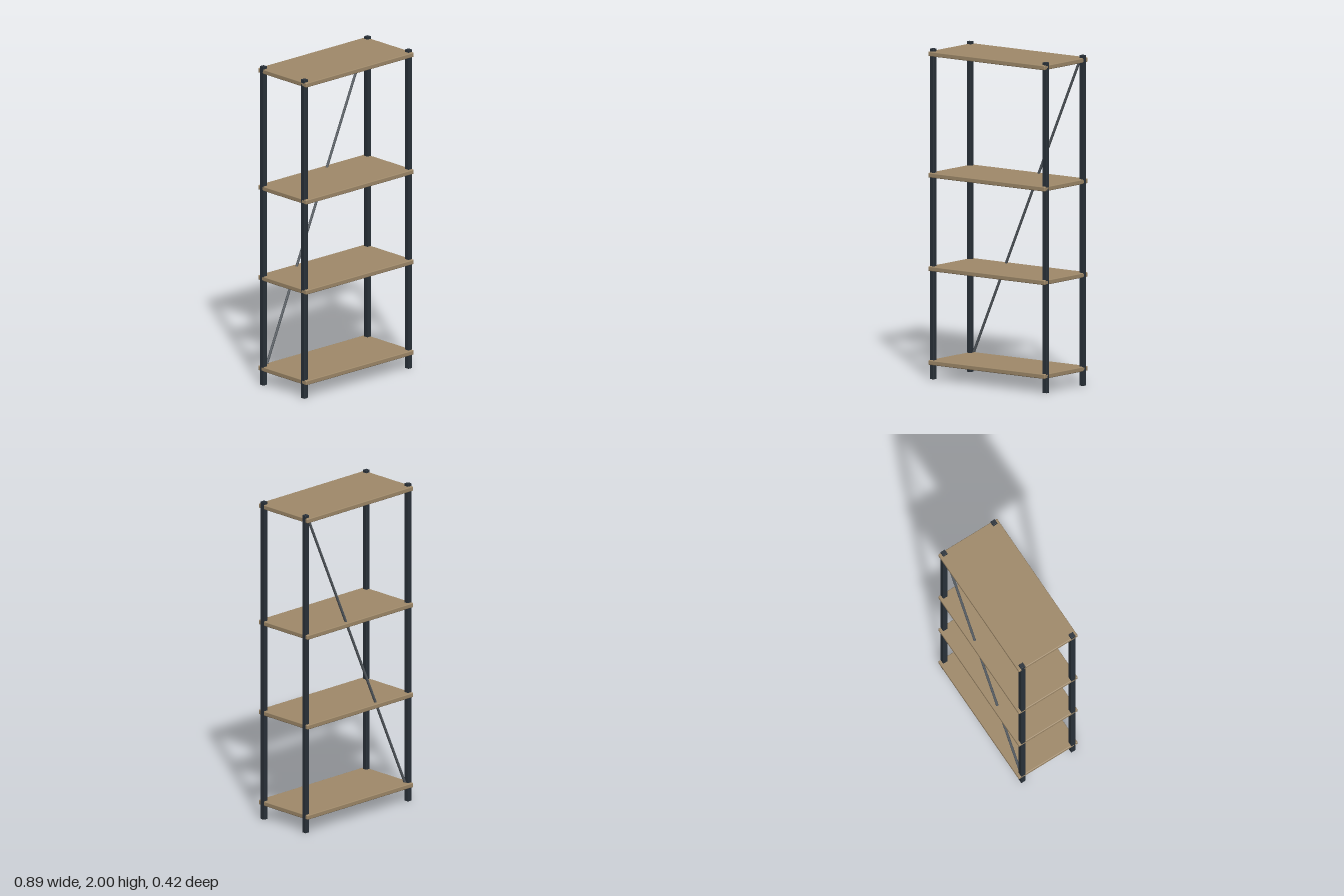
import * as THREE from 'three';
import { RoundedBoxGeometry } from 'three/addons/geometries/RoundedBoxGeometry.js';

const POST_X = 0.428, POST_Z = 0.178;

export function createModel() {
  const model = new THREE.Group();
  model.name = 'shelvingUnit';
  const wood = new THREE.MeshStandardMaterial({ color: 0xa08a6a });
  const darkMetal = new THREE.MeshStandardMaterial({ color: 0x2a323a });
  const rodMetal = new THREE.MeshStandardMaterial({ color: 0x555b61 });

  const add = (name, geometry, material, x, y, z) => {
    const mesh = new THREE.Mesh(geometry, material);
    mesh.name = name;
    mesh.position.set(x, y, z);
    model.add(mesh);
    return mesh;
  };

  // Four square corner posts, running through the boards
  const postGeometry = new RoundedBoxGeometry(0.03, 2, 0.03, 2, 0.002);
  for (const [side, sx] of [['Left', 1], ['Right', -1]]) {
    for (const [end, sz] of [['front', 1], ['back', -1]]) {
      add(`${end}${side}Post`, postGeometry, darkMetal, sx * POST_X, 1, sz * POST_Z);
    }
  }

  // Boards with softly eased edges
  const shelfGeometry = new RoundedBoxGeometry(0.886, 0.028, 0.42, 2, 0.005);
  [0.102, 0.67, 1.236, 1.97].forEach((y, i) => {
    add(`shelf${i + 1}`, shelfGeometry, wood, 0, y, 0);
  });

  // Diagonal rod across the back, between the rear posts
  const start = new THREE.Vector3(-0.4, 0.125, -POST_Z);
  const end = new THREE.Vector3(0.398, 1.947, -POST_Z);
  const span = end.clone().sub(start);
  const mid = start.clone().add(end).multiplyScalar(0.5);
  const brace = add('backBrace', new THREE.CylinderGeometry(0.008, 0.008, span.length(), 12),
    rodMetal, mid.x, mid.y, mid.z);
  brace.quaternion.setFromUnitVectors(new THREE.Vector3(0, 1, 0), span.normalize());

  return model;
}
